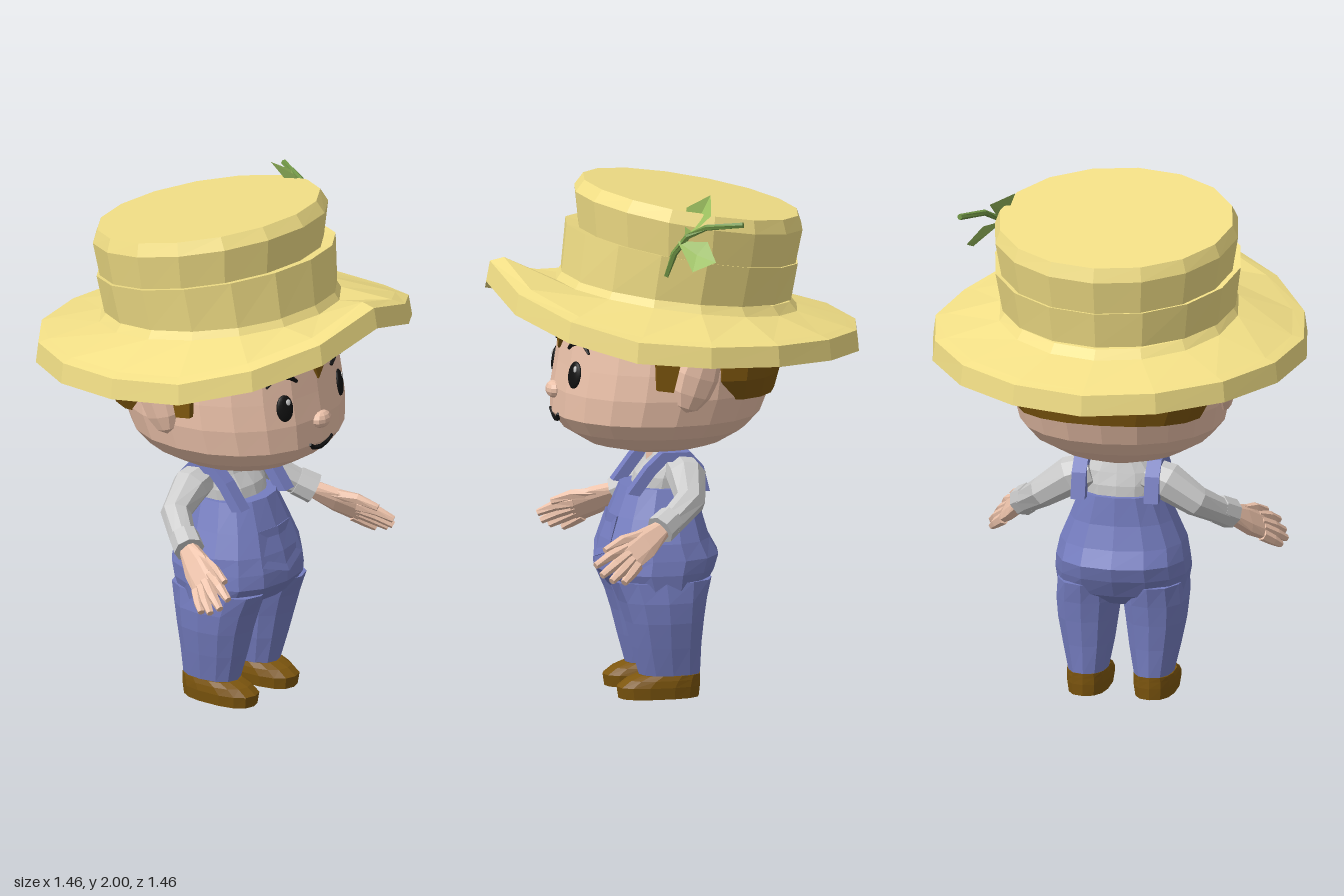
import * as THREE from 'three';
import { ConvexGeometry } from 'three/addons/geometries/ConvexGeometry.js';

const V = (x, y, z) => new THREE.Vector3(x, y, z);
const mat = (color, flat = true) => new THREE.MeshStandardMaterial({ color, flatShading: flat, roughness: 0.9 });
const M = {
  straw: mat(0xf2df86), skin: mat(0xecc2aa), hair: mat(0x7d560e), denim: mat(0x757dc0), shirt: mat(0xcccccc),
  shoe: mat(0x7d560e), black: mat(0x111111, false), white: mat(0xffffff, false), stem: mat(0x6f9445), leaf: mat(0x9cc060),
};
M.leaf.side = THREE.DoubleSide;

// Closed skin over a stack of rings (each counterclockwise about the direction of growth)
function loft(rings) {
  const n = rings[0].length, pos = [];
  const tri = (...p) => p.forEach(v => pos.push(v.x, v.y, v.z));
  const mid = r => r.reduce((s, p) => s.add(p), V(0, 0, 0)).divideScalar(n);
  const first = rings[0], last = rings[rings.length - 1], c0 = mid(first), c1 = mid(last);
  for (let j = 0; j < n; j++) {
    const k = (j + 1) % n;
    tri(c0, first[k], first[j]);
    tri(c1, last[j], last[k]);
    for (let i = 0; i + 1 < rings.length; i++) {
      tri(rings[i][j], rings[i][k], rings[i + 1][k]);
      tri(rings[i][j], rings[i + 1][k], rings[i + 1][j]);
    }
  }
  const g = new THREE.BufferGeometry();
  g.setAttribute('position', new THREE.Float32BufferAttribute(pos, 3));
  g.computeVertexNormals();
  return g;
}

// Horizontal oval between zf and zb; y may differ at front and back, or follow a rule
function oval(n, rx, zf, zb, y, cx = 0, pow = 2) {
  return Array.from({ length: n }, (_, j) => {
    const a = j / n * Math.PI * 2, s = Math.sin(a), c = Math.cos(a);
    const bend = v => Math.sign(v) * Math.abs(v) ** (2 / pow);
    return V(cx + rx * bend(s), typeof y === 'function' ? y(c, j) : y, (zf + zb) / 2 + (zf - zb) / 2 * bend(c));
  });
}
// Rows of [y, half width, front z, back z, centre x]
const stack = (n, rows, pow) => loft(rows.map(([y, rx, zf, zb, cx]) => oval(n, rx, zf, zb, y, cx, pow)));

// Round limb through points with a radius at each
function limb(points, radii, sides = 8) {
  return loft(points.map((p, i) => {
    const t = points[Math.min(i + 1, points.length - 1)].clone().sub(points[Math.max(i - 1, 0)]).normalize();
    const u = V(0, -0.3, 1).cross(t).normalize(), v = t.clone().cross(u);
    return Array.from({ length: sides }, (_, j) => {
      const a = j / sides * Math.PI * 2;
      return p.clone().addScaledVector(u, Math.cos(a) * radii[i]).addScaledVector(v, Math.sin(a) * radii[i]);
    });
  }));
}

const shapeOf = pts => new THREE.Shape(pts.map(p => new THREE.Vector2(...p)));
const slab = (pts, depth) => new THREE.ExtrudeGeometry(shapeOf(pts), { depth, bevelEnabled: false });
// Slab drawn in (z, y), centred on x
const sideSlab = (pts, x, depth) => slab(pts, depth).rotateY(-Math.PI / 2).translate(x + depth / 2, 0, 0);

export function createModel() {
  const root = new THREE.Group();
  const add = (name, geo, m, parent = root) => {
    const mesh = new THREE.Mesh(geo, m);
    mesh.name = name;
    parent.add(mesh);
    return mesh;
  };
  // Point and normal on the front of a mesh
  const onFront = (mesh, x, y, lift = 0) => {
    const hit = new THREE.Raycaster(V(x, y, 3), V(0, 0, -1)).intersectObject(mesh)[0];
    return { p: hit.point.clone().addScaledVector(hit.face.normal, lift), n: hit.face.normal };
  };

  // Head
  const head = add('head', stack(20, [
    [0.945, 0.1, 0.17, -0.08], [0.985, 0.25, 0.33, -0.19], [1.04, 0.345, 0.42, -0.28], [1.1, 0.395, 0.465, -0.335],
    [1.2, 0.415, 0.462, -0.375], [1.3, 0.415, 0.445, -0.385], [1.4, 0.405, 0.43, -0.385], [1.52, 0.37, 0.39, -0.36],
  ], 2.15), M.skin);
  add('neck', stack(10, [[0.88, 0.07, 0.1, -0.05], [0.99, 0.07, 0.1, -0.05]]), M.skin);
  const nose = add('nose', new THREE.SphereGeometry(1, 10, 7), M.skin);
  nose.scale.set(0.05, 0.034, 0.032);
  nose.position.set(0, 1.19, 0.46);
  const line = (name, pts, r) => add(name, limb(pts.map(([x, y]) => onFront(head, x, y, 0.004).p), r, 6), M.black);
  line('mouth', [[-0.07, 1.105], [-0.04, 1.085], [0.002, 1.077], [0.04, 1.085], [0.07, 1.105]], [0.006, 0.01, 0.011, 0.01, 0.006]);

  for (const s of [1, -1]) {
    const side = s > 0 ? 'left' : 'right';
    // Eye, brow, ear, sideburn
    const { p, n } = onFront(head, 0.175 * s, 1.275, 0.003);
    const eye = new THREE.Group();
    eye.name = side + 'Eye';
    eye.position.copy(p);
    eye.quaternion.setFromUnitVectors(V(0, 0, 1), n);
    root.add(eye);
    add('eyeball', new THREE.SphereGeometry(1, 16, 10), M.black, eye).scale.set(0.036, 0.053, 0.014);
    const glint = add('glint', new THREE.SphereGeometry(1, 8, 6), M.white, eye);
    glint.scale.set(0.01, 0.013, 0.004);
    glint.position.set(0.012, 0.024, 0.012);
    line(side + 'Brow', [[0.235, 1.365], [0.205, 1.393], [0.17, 1.4], [0.135, 1.388], [0.11, 1.368]].map(([x, y]) => [x * s, y]),
      [0.005, 0.01, 0.011, 0.01, 0.007]);
    const ear = add(side + 'Ear', new THREE.SphereGeometry(1, 8, 6), M.skin);
    ear.scale.set(0.04, 0.15, 0.083);
    ear.rotation.set(-0.3, 0, -0.08 * s);
    ear.position.set(0.42 * s, 1.3, -0.015);
    add(side + 'Sideburn', sideSlab([[0.15, 1.5], [0.145, 1.25], [0.08, 1.24], [0.035, 1.42], [0.03, 1.5]], 0.405 * s, 0.04), M.hair);

    // Trouser leg and shoe
    add(side + 'Leg', stack(12, [
      [0.09, 0.077, 0.155, -0.085, 0.128 * s], [0.2, 0.1, 0.185, -0.09, 0.13 * s], [0.3, 0.117, 0.21, -0.1, 0.133 * s],
      [0.38, 0.126, 0.235, -0.112, 0.131 * s], [0.46, 0.12, 0.27, -0.13, 0.13 * s],
    ], 2.3), M.denim);
    add(side + 'Shoe', stack(14, [
      [0, 0.078, 0.235, -0.08, 0.13 * s], [0.045, 0.085, 0.242, -0.085, 0.13 * s],
      [0.072, 0.083, 0.205, -0.085, 0.13 * s], [0.09, 0.078, 0.16, -0.085, 0.13 * s],
    ], 2.5), M.shoe);

    // Shoulder strap
    add(side + 'Strap', sideSlab([[0.205, 0.8], [0.13, 0.9], [0.07, 0.955], [-0.04, 0.955], [-0.09, 0.9], [-0.115, 0.8],
      [-0.07, 0.8], [-0.05, 0.88], [-0.02, 0.92], [0.05, 0.92], [0.1, 0.87], [0.16, 0.79]], 0.143 * s, 0.056), M.denim);

    // Sleeve and cuff
    const P = (x, y, z) => V(x * s, y, z);
    add(side + 'Sleeve', limb([P(0.11, 0.89, -0.01), P(0.19, 0.865, -0.02), P(0.3, 0.79, -0.01), P(0.385, 0.72, 0.09)],
      [0.065, 0.075, 0.06, 0.05]), M.shirt);
    add(side + 'Cuff', limb([P(0.365, 0.737, 0.075), P(0.405, 0.703, 0.13)], [0.057, 0.06]), M.shirt);

    // Hand: palm hull, then thumb and four fingers
    const across = V(-0.35, 0.75, 0.45).normalize(), along = V(0.5, -0.4, 0.8).normalize();
    const flat = along.clone().cross(across).normalize();
    const palm = [];
    for (const [x, y, z, w, t] of [[0.395, 0.71, 0.11, 0.032, 0.028], [0.45, 0.66, 0.2, 0.058, 0.026], [0.5, 0.615, 0.28, 0.058, 0.018]])
      for (const [i, k] of [[1, 0.5], [1, -0.5], [0.5, 1], [0.5, -1], [-0.5, 1], [-0.5, -1], [-1, 0.5], [-1, -0.5]]) {
        const q = V(x, y, z).addScaledVector(across, w * i).addScaledVector(flat, t * k);
        palm.push(P(q.x, q.y, q.z));
      }
    add(side + 'Palm', new ConvexGeometry(palm), M.skin);
    const fingers = [
      [[0.43, 0.69, 0.2], [0.465, 0.68, 0.29], [0.495, 0.65, 0.365]], [[0.475, 0.65, 0.28], [0.51, 0.63, 0.35], [0.535, 0.6, 0.41]],
      [[0.49, 0.63, 0.27], [0.53, 0.6, 0.33], [0.56, 0.565, 0.39]], [[0.5, 0.61, 0.26], [0.545, 0.575, 0.31], [0.575, 0.545, 0.355]],
      [[0.505, 0.59, 0.24], [0.54, 0.56, 0.275], [0.565, 0.535, 0.305]],
    ];
    fingers.forEach((f, i) => add(side + (i ? 'Finger' + i : 'Thumb'), limb(f.map(q => P(...q)), [0.024, 0.021, 0.014], 6), M.skin));
  }

  // Hair: shell behind the head and a ragged fringe
  add('backHair', stack(18, [
    [1.18, 0.385, -0.365, -0.372], [1.19, 0.36, 0.05, -0.385], [1.27, 0.4, 0.08, -0.405], [1.38, 0.41, 0.08, -0.42], [1.5, 0.38, 0.08, -0.4],
  ].slice(1), 2.2), M.hair);
  add('fringe', slab([[-0.17, 1.58], [-0.13, 1.47], [-0.085, 1.43], [-0.065, 1.47], [-0.03, 1.43], [0.005, 1.35],
    [0.06, 1.43], [0.1, 1.5], [0.15, 1.46], [0.17, 1.58]], 0.05).translate(0, 0, 0.395), M.hair);

  // Shirt body and overalls
  add('shirt', stack(14, [[0.77, 0.14, 0.165, -0.085], [0.85, 0.145, 0.14, -0.08], [0.9, 0.14, 0.1, -0.065], [0.95, 0.1, 0.08, -0.05]], 2.4), M.shirt);
  const overalls = add('overalls', stack(14, [
    [0.37, 0.12, 0.14, -0.05], [0.42, 0.25, 0.245, -0.12], [0.49, 0.26, 0.3, -0.16], [0.545, 0.255, 0.297, -0.178],
    [0.61, 0.243, 0.28, -0.142], [0.7, 0.205, 0.245, -0.115], [0.81, 0.16, 0.2, -0.105],
  ], 2.3), M.denim);
  // Bib pocket, wrapped on the belly
  const patch = d => [[0.002, 0.7], [-0.1, 0.7], [-0.125, 0.57], [0.002, 0.53], [0.125, 0.57], [0.1, 0.7]].map(([x, y]) => onFront(overalls, x, y, d).p);
  add('pocket', loft([patch(-0.02), patch(0.008)]), M.denim).material.side = THREE.DoubleSide;

  // Hat brim: sides droop and the front is turned up
  const n = 16;
  const rim = [1.62, 1.54, 1.47, 1.41, 1.39, 1.375, 1.36, 1.345, 1.335];
  const rimY = d => (c, j) => rim[Math.min(j, n - j)] + d;
  const tilt = (front, back) => c => (front + back) / 2 + (front - back) / 2 * c;
  add('hatBrim', loft([
    oval(n, 0.4, 0.38, -0.42, tilt(1.5, 1.38)), oval(n, 0.73, 0.725, -0.73, rimY(0)), oval(n, 0.72, 0.71, -0.72, rimY(0.08)),
    oval(n, 0.675, 0.655, -0.68, rimY(0.092)), oval(n, 0.465, 0.45, -0.49, tilt(1.615, 1.485)),
    oval(n, 0.44, 0.42, -0.46, tilt(1.66, 1.52)),
  ]), M.straw);
  // Hat band and crown
  add('hatBand', loft([
    oval(n, 0.42, 0.39, -0.44, tilt(1.64, 1.525)), oval(n, 0.455, 0.43, -0.465, tilt(1.64, 1.53)),
    oval(n, 0.48, 0.41, -0.49, tilt(1.83, 1.67)), oval(n, 0.44, 0.36, -0.46, tilt(1.815, 1.67)),
  ]), M.straw);
  add('hatCrown', loft([
    oval(n, 0.445, 0.355, -0.475, tilt(1.76, 1.64)), oval(n, 0.475, 0.375, -0.508, tilt(1.955, 1.8)),
    oval(n, 0.455, 0.34, -0.49, tilt(2, 1.855)),
  ]), M.straw);

  // Sprig on the hat
  add('sprigStem', limb([V(0.43, 1.7, 0.11), V(0.455, 1.79, 0.085), V(0.485, 1.86, 0.04), V(0.525, 1.9, -0.025), V(0.595, 1.918, -0.155)],
    [0.014, 0.013, 0.012, 0.012, 0.012], 6), M.stem);
  const leaf = (name, base, a, tip, b) => {
    const m = base.clone().lerp(tip, 0.5).add(V(0, -0.012, 0));
    const g = new THREE.BufferGeometry().setFromPoints([base, a, m, a, tip, m, tip, b, m, b, base, m]);
    g.computeVertexNormals();
    add(name, g, M.leaf);
  };
  leaf('upperLeaf', V(0.475, 1.84, 0.05), V(0.5, 1.94, -0.05), V(0.395, 2, -0.07), V(0.42, 1.96, 0.03));
  leaf('lowerLeaf', V(0.47, 1.84, 0.075), V(0.53, 1.845, -0.03), V(0.59, 1.775, -0.05), V(0.583, 1.74, 0.04));
  return root;
}
